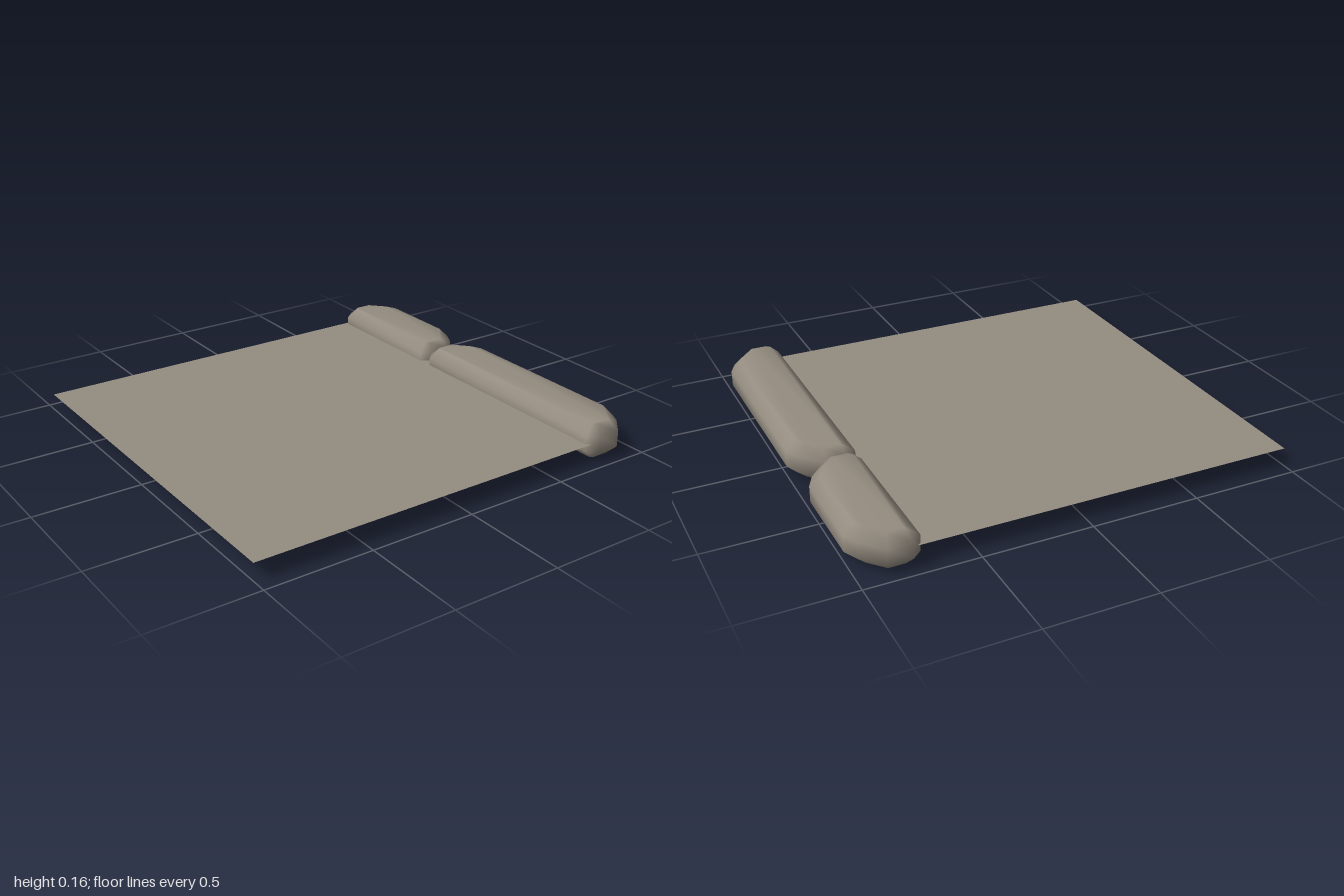
import * as THREE from 'three';
import { mergeVertices } from 'three/addons/utils/BufferGeometryUtils.js';

const GROUND_Y = 0.082;
const BEVEL = 0.045;

const stone = new THREE.MeshStandardMaterial({ color: 0x948c80 });
stone.name = 'warmGreyStone';
stone.side = THREE.DoubleSide;

function shapeFrom(points) {
  return new THREE.Shape(points.map(([x, y]) => new THREE.Vector2(x, y)));
}

// Softly shaded kerb stone between two z positions, outer corners cut away
function kerbStone(name, zBack, zFront) {
  const inner = 0.725, outer = 0.998;
  const half = [[inner, 0.04], [inner + 0.045, 0], [0.88, 0], [0.963, 0.09], [outer, 0.16]];
  const outline = [
    ...half.map(([x, d]) => [x, -(zFront - d)]),
    ...half.map(([x, d]) => [x, -(zBack + d)]).reverse(),
  ];
  let geo = new THREE.ExtrudeGeometry(shapeFrom(outline), {
    depth: 0.165 - 2 * BEVEL, bevelEnabled: true, bevelSegments: 1,
    bevelSize: BEVEL, bevelThickness: BEVEL, bevelOffset: -BEVEL,
  });
  geo.rotateX(-Math.PI / 2).translate(0, BEVEL, 0);
  geo.deleteAttribute('uv');
  geo.deleteAttribute('normal');
  geo = mergeVertices(geo, 1e-4);
  geo.computeVertexNormals();
  const mesh = new THREE.Mesh(geo, stone);
  mesh.name = name;
  return mesh;
}

// Flat patch with cut corners lying just above the ground sheet
function groundPatch(name, x, z, width, length, cut) {
  const w = width / 2, l = length / 2;
  const geo = new THREE.ShapeGeometry(shapeFrom([
    [-w + cut, -l], [w - cut, -l], [w, -l + cut], [w, l - cut],
    [w - cut, l], [-w + cut, l], [-w, l - cut], [-w, -l + cut],
  ]));
  geo.rotateX(-Math.PI / 2);
  const mesh = new THREE.Mesh(geo, stone);
  mesh.name = name;
  mesh.position.set(x, GROUND_Y + 0.002, z);
  mesh.rotation.y = 0.18;
  return mesh;
}

export function createModel() {
  const group = new THREE.Group();
  group.name = 'pavementSection';

  // Thin ground sheet running under the inner side of the kerb
  const ground = new THREE.Mesh(new THREE.PlaneGeometry(1.77, 1.86), stone);
  ground.name = 'ground';
  ground.rotation.x = -Math.PI / 2;
  ground.position.set(-0.115, GROUND_Y, 0);
  group.add(ground);

  // Repaired patches in the surface
  group.add(groundPatch('squarePatch', -0.67, -0.34, 0.38, 0.43, 0.05));
  group.add(groundPatch('longPatch', 0.14, 0.44, 0.46, 0.22, 0.05));

  // Two kerb stones, long in front and short behind
  group.add(kerbStone('longKerbStone', -0.235, 0.955));
  group.add(kerbStone('shortKerbStone', -0.955, -0.232));
  return group;
}
